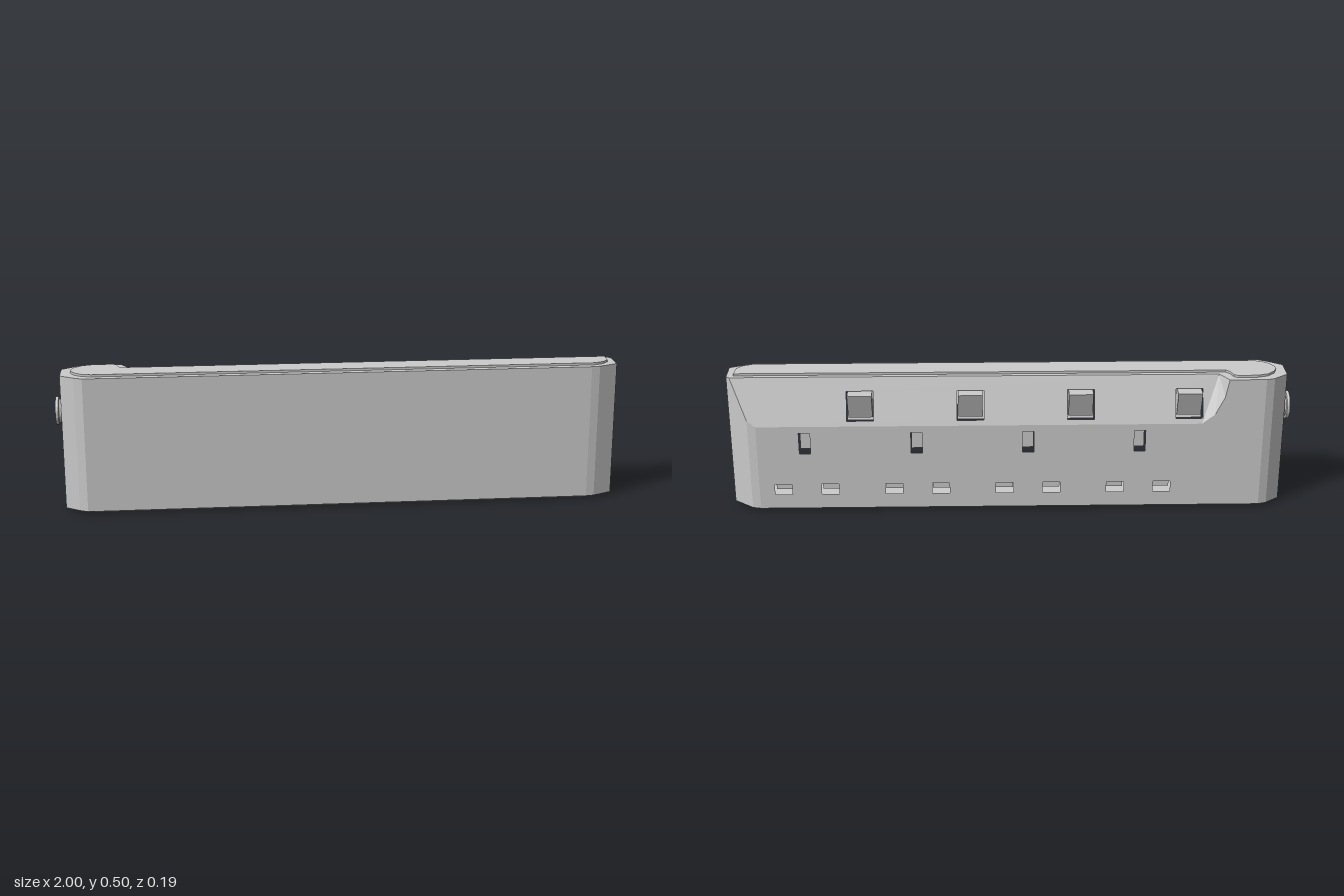
import * as THREE from 'three';

const Y0 = 0.01, Y1 = 0.497, BACK = -0.095;
const BEVEL_Y = 0.33, BEVEL_Z = -0.04;
const dy = Y1 - BEVEL_Y, dz = BEVEL_Z - BACK, L = Math.hypot(dy, dz);
const DEPTH = 0.045;

const material = new THREE.MeshStandardMaterial({ color: 0xcccccc, flatShading: true });
const toShape = pts => new THREE.Shape(pts.map(p => new THREE.Vector2(p[0], p[1])));

function addMesh(parent, name, geometry) {
  const mesh = new THREE.Mesh(geometry, material);
  mesh.name = name;
  parent.add(mesh);
  return mesh;
}

// Horizontal plate from a plan outline of [x, z] points
function slab(pts, y, height) {
  const g = new THREE.ExtrudeGeometry(toShape(pts.map(([x, z]) => [x, -z])), { depth: height, bevelEnabled: false });
  return g.rotateX(-Math.PI / 2).translate(0, y, 0);
}

// Panel seen from the back, with rectangular pockets [x, v, width, height] and a floor behind them
function pocketPanel(parent, name, pts, pockets, basis) {
  const panel = new THREE.Group();
  panel.name = name;
  const shape = toShape(pts.map(([x, v]) => [-x, v]));
  for (const [x, v, w, h] of pockets) {
    const a = w / 2, b = h / 2;
    shape.holes.push(new THREE.Path([[-a, -b], [-a, b], [a, b], [a, -b]].map(c => new THREE.Vector2(c[0] - x, c[1] + v))));
    addMesh(panel, 'pocketFloor', new THREE.PlaneGeometry(w, h).translate(-x, v, -DEPTH));
  }
  const g = new THREE.ExtrudeGeometry(shape, { depth: DEPTH, bevelEnabled: false });
  addMesh(panel, 'panelFace', g.translate(0, 0, -DEPTH));
  panel.applyMatrix4(basis);
  parent.add(panel);
}

// Vertical wall strip along [x, z] points, cut off by the sloping rear bevel
function wallStrip(ring) {
  const top = ([x, z]) => (x > 0 && z < BEVEL_Z ? Y1 - (BEVEL_Z - z) * dy / dz : Y1);
  const pos = [];
  for (let i = 0; i < ring.length - 1; i++) {
    const a = ring[i], b = ring[i + 1];
    const aB = [a[0], Y0, a[1]], aT = [a[0], top(a), a[1]];
    const bB = [b[0], Y0, b[1]], bT = [b[0], top(b), b[1]];
    pos.push(...bB, ...aB, ...aT, ...bB, ...aT, ...bT);
  }
  const g = new THREE.BufferGeometry();
  g.setAttribute('position', new THREE.Float32BufferAttribute(pos, 3));
  g.computeVertexNormals();
  return g;
}

export function createModel() {
  const model = new THREE.Group();
  model.name = 'powerStrip';

  // Housing walls, running from the back around both ends
  const ring = [[0.9, BACK], [0.93, -0.088], [0.988, BEVEL_Z], [1, -0.03], [1, 0.057], [0.93, 0.09], [0.9, 0.095],
    [-0.9, 0.095], [-0.93, 0.08], [-0.98, 0.045], [-0.98, -0.045], [-0.93, -0.085], [-0.9, BACK]];
  addMesh(model, 'housingWalls', wallStrip(ring));
  addMesh(model, 'housingBottom', slab(ring, Y0, 0.004));
  addMesh(model, 'housingTop', slab([...ring.slice(2), [-0.77, BACK], [-0.74, BEVEL_Z]], Y1 - 0.004, 0.004));

  // Back face with four three-pin sockets
  const pins = [];
  for (let i = 0; i < 4; i++) {
    const x = 0.73 - 0.397 * i;
    pins.push([x, 0.265, 0.04, 0.08], [x - 0.084, 0.085, 0.062, 0.04], [x + 0.084, 0.085, 0.062, 0.04]);
  }
  const notch = [[-0.68, BEVEL_Y], [-0.725, 0.365], [-0.757, 0.43], [-0.77, Y1]];
  const backBasis = new THREE.Matrix4().makeRotationY(Math.PI).setPosition(0, 0, BACK);
  pocketPanel(model, 'socketPanel',
    [[-0.9, Y0], [0.9, Y0], [0.9, BEVEL_Y], ...notch, [-0.9, Y1]], pins, backBasis);

  // Sloping switch panel with a recess for each rocker
  const switchX = [0.53, 0.14, -0.25, -0.635];
  const bevelBasis = new THREE.Matrix4().makeBasis(
    new THREE.Vector3(-1, 0, 0), new THREE.Vector3(0, dy / L, dz / L), new THREE.Vector3(0, dz / L, -dy / L)
  ).setPosition(0, BEVEL_Y, BACK);
  pocketPanel(model, 'switchPanel',
    [[-0.68, 0], [0.9, 0], [0.93, 0.007 / dz * L], [0.988, L], [-0.74, L]],
    switchX.map(x => [x, 0.072, 0.095, 0.106]), bevelBasis);

  // Wall closing the end of the switch panel
  const fan = [];
  for (let i = 0; i < notch.length - 1; i++) {
    const [a, b] = [notch[i], notch[i + 1]];
    fan.push(-0.74, Y1, BEVEL_Z, a[0], a[1], BACK, b[0], b[1], BACK);
  }
  const endWall = new THREE.BufferGeometry();
  endWall.setAttribute('position', new THREE.Float32BufferAttribute(fan, 3));
  endWall.computeVertexNormals();
  addMesh(model, 'switchPanelEnd', endWall);

  // Rocker switches, tipped outwards at the top
  const rocker = toShape([[0.03, 0.352], [0.064, 0.352], [0.095, 0.445], [0.03, 0.445]]);
  for (const x of switchX) {
    const g = new THREE.ExtrudeGeometry(rocker, { depth: 0.086, bevelEnabled: false });
    addMesh(model, 'rockerSwitch', g.translate(0, 0, -0.043).rotateY(Math.PI / 2)).position.x = x;
  }

  // Raised trims on the top and bottom
  addMesh(model, 'topTrim', slab([[-0.945, 0.01], [-0.93, 0.04], [-0.905, 0.06], [-0.87, 0.07], [0.915, 0.07],
    [0.95, 0.055], [0.972, 0.03], [0.975, -0.022], [-0.765, -0.022], [-0.778, -0.035], [-0.787, -0.065],
    [-0.8, -0.073], [-0.87, -0.073], [-0.91, -0.06], [-0.935, -0.035], [-0.945, -0.01]], Y1, 0.008));
  const half = [[-0.945, 0.02], [-0.925, 0.045], [-0.9, 0.062], [-0.87, 0.072],
    [0.89, 0.072], [0.92, 0.062], [0.945, 0.045], [0.965, 0.02]];
  addMesh(model, 'bottomTrim', slab([...half, ...half.map(([x, z]) => [x, -z]).reverse()], 0, Y0));

  // Cable entry on the right end
  const cable = new THREE.LatheGeometry([[0, -0.02], [0.042, -0.02], [0.042, 0.008], [0.05, 0.01], [0.05, 0.02], [0, 0.02]]
    .map(p => new THREE.Vector2(p[0], p[1])), 24);
  addMesh(model, 'cableEntry', cable.rotateZ(Math.PI / 2).translate(-0.98, 0.36, 0.004));

  return model;
}
